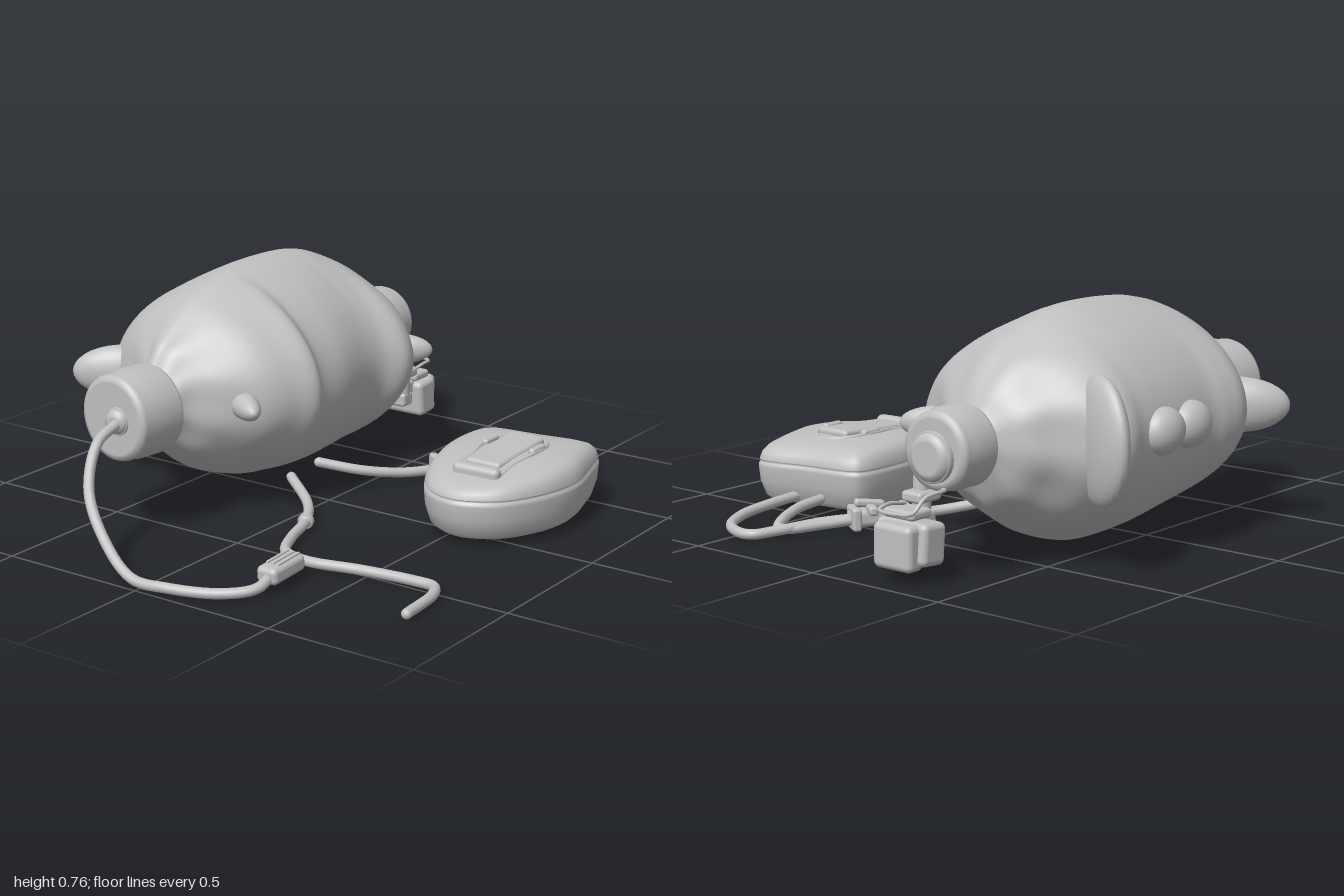
import * as THREE from 'three';
import { RoundedBoxGeometry } from 'three/addons/geometries/RoundedBoxGeometry.js';

const V = (a) => new THREE.Vector3(...a);

export function createModel() {
  const root = new THREE.Group();
  const grey = new THREE.MeshStandardMaterial({ color: 0xc0c0c0 });
  grey.name = 'light grey';

  const add = (name, geometry, pos = [0, 0, 0], rot = [0, 0, 0], parent = root) => {
    const m = new THREE.Mesh(geometry, grey);
    m.name = name;
    m.position.set(...pos);
    m.rotation.set(...rot);
    parent.add(m);
    return m;
  };
  const box = (name, size, pos, rot, r = 0.012, parent = root) =>
    add(name, new RoundedBoxGeometry(...size, 3, r), pos, rot, parent);
  const blob = (name, size, pos, rot) => {
    const m = add(name, new THREE.SphereGeometry(1, 28, 18), pos, rot);
    m.scale.set(...size);
    return m;
  };
  // Turned part: profile [radius, distance] along a direction
  const turned = (name, profile, pos, dir) => {
    const pts = profile.map((p) => new THREE.Vector2(...p));
    const m = add(name, new THREE.LatheGeometry(pts, 48), pos);
    m.quaternion.setFromUnitVectors(new THREE.Vector3(0, 1, 0), V(dir).normalize());
    return m;
  };
  // Round hose along points, with closed ends
  const hose = (name, points, r = 0.017) => {
    const pts = points.map(V);
    const curve = new THREE.CatmullRomCurve3(pts, false, 'centripetal');
    add(name, new THREE.TubeGeometry(curve, points.length * 12, r, 12), [0, 0, 0]);
    for (const p of [points[0], points[points.length - 1]]) add(name + 'End', new THREE.SphereGeometry(r, 12, 8), p);
  };
  // Skin over equal closed rings, fan caps at both ends
  const loft = (rings) => {
    const n = rings[0].length, last = rings.length - 1, pos = rings.flat(2), idx = [];
    const id = (i, j) => i * n + (j % n);
    for (let i = 0; i < last; i++) for (let j = 0; j < n; j++) {
      const a = id(i, j), b = id(i, j + 1), c = id(i + 1, j), d = id(i + 1, j + 1);
      idx.push(a, c, b, b, c, d);
    }
    [0, last].forEach((r) => {
      const centre = pos.length / 3;
      pos.push(...[0, 1, 2].map((k) => rings[r].reduce((s, p) => s + p[k], 0) / n));
      for (let j = 0; j < n; j++) idx.push(centre, id(r, r ? j + 1 : j), id(r, r ? j : j + 1));
    });
    const g = new THREE.BufferGeometry();
    g.setAttribute('position', new THREE.Float32BufferAttribute(pos, 3));
    g.setIndex(idx);
    g.computeVertexNormals();
    return g;
  };

  // Soft bag: x, top y, bottom y, front z, back z
  const stations = [
    [-0.54, 0.48, 0.32, -0.27, -0.42], [-0.48, 0.50, 0.30, -0.26, -0.43], [-0.43, 0.57, 0.24, -0.23, -0.46],
    [-0.37, 0.62, 0.19, -0.14, -0.55], [-0.28, 0.69, 0.13, -0.04, -0.68], [-0.19, 0.73, 0.09, 0.01, -0.74],
    [-0.11, 0.75, 0.065, 0.045, -0.74], [-0.03, 0.764, 0.045, -0.01, -0.725], [0.1, 0.772, 0.025, 0.0, -0.73],
    [0.24, 0.77, 0.02, -0.01, -0.73], [0.32, 0.757, 0.035, 0.0, -0.73], [0.4, 0.73, 0.06, 0.045, -0.74],
    [0.48, 0.69, 0.095, 0.01, -0.7], [0.56, 0.64, 0.15, -0.1, -0.6], [0.63, 0.57, 0.21, -0.19, -0.53],
    [0.68, 0.49, 0.31, -0.26, -0.44], [0.72, 0.47, 0.33, -0.28, -0.42],
  ];
  const heights = new THREE.CatmullRomCurve3(stations.map((s) => V([s[0], s[1], s[2]])), false, 'catmullrom', 0.5);
  const depths = new THREE.CatmullRomCurve3(stations.map((s) => V([s[0], s[3], s[4]])), false, 'catmullrom', 0.5);
  const bagRings = [];
  for (let i = 0; i <= 96; i++) {
    const h = heights.getPoint(i / 96), d = depths.getPoint(i / 96), ring = [];
    const x = h.x, zc = -0.36, yc = 0.4;
    const mid = Math.max(0, 1 - Math.abs((x - 0.09) / 0.62) ** 4);
    const crease = Math.exp(-(((x + 0.43) / 0.1) ** 2)) + Math.exp(-(((x - 0.58) / 0.1) ** 2));
    for (let j = 0; j < 112; j++) {
      const t = (j / 112) * Math.PI * 2, c = Math.cos(t), s = Math.sin(t);
      const front = Math.max(0, c);
      const fold = 1 + 0.022 * crease * Math.sin(9 * t + x * 5)
        + front * (0.03 * Math.exp(-(((x + 0.11) / 0.035) ** 2)) - 0.02 * Math.exp(-(((x + 0.05) / 0.025) ** 2))
        - 0.014 * Math.exp(-(((x - 0.25) / 0.025) ** 2))) * (1 - front ** 4);
      const cz = Math.sign(c) * Math.abs(c) ** (1 + 0.35 * mid);
      ring.push([x, yc + s * fold * (s > 0 ? h.y - yc : yc - h.z), zc + cz * fold * (c > 0 ? d.y - zc : zc - d.z)]);
    }
    bagRings.push(ring);
  }
  add('bag', loft(bagRings));

  // Pinched flaps and tabs on the bag
  blob('backFlapLeft', [0.055, 0.2, 0.16], [0.46, 0.41, -0.665], [0, -0.42, 0]);
  blob('backFlapRight', [0.06, 0.09, 0.17], [-0.27, 0.41, -0.655], [0, 0.62, 0]);
  for (const x of [0.08, 0.22]) blob('backPad', [0.085, 0.075, 0.06], [x, 0.41, -0.72]);
  blob('frontTabLeft', [0.04, 0.055, 0.13], [0.52, 0.4, -0.09], [0, 0.5, 0]);
  blob('frontTabRight', [0.045, 0.045, 0.13], [-0.31, 0.4, -0.12], [0, -0.6, 0]);

  // End caps
  const cap = (r, l) => [[0, 0], [r - 0.015, 0], [r - 0.005, 0.004], [r, 0.014], [r, l * 0.6], [r - 0.005, l * 0.63],
    [r - 0.005, l - 0.02], [r - 0.01, l - 0.006], [r - 0.024, l], [r - 0.028, l], [0, l]];
  turned('rightCap', cap(0.146, 0.18), [-0.5, 0.4, -0.335], [-1, 0, -0.1]);
  turned('hoseSpigot', cap(0.045, 0.05), [-0.66, 0.4, -0.325], [-1, 0, 0]);
  turned('leftCap', cap(0.127, 0.15), [0.695, 0.4, -0.35], [1, 0, 0]);
  turned('leftCapPlug', cap(0.078, 0.05), [0.83, 0.385, -0.35], [1, 0, 0]);

  // Valve hanging below the left cap
  turned('valveStem', cap(0.03, 0.19), [0.75, 0.12, -0.215], [0, 1, 0]);
  box('valveCollar', [0.1, 0.035, 0.08], [0.755, 0.235, -0.22]);
  box('valveArm', [0.13, 0.05, 0.06], [0.8, 0.17, -0.235]);
  box('valveFoot', [0.06, 0.05, 0.07], [0.75, 0.14, -0.22]);
  box('valveBlock', [0.1, 0.13, 0.2], [0.86, 0.125, -0.27], [0, 0, 0.08], 0.02);
  box('valveFace', [0.07, 0.14, 0.15], [0.915, 0.118, -0.27], [0, 0, 0], 0.02);
  box('valveLid', [0.09, 0.03, 0.12], [0.85, 0.205, -0.25]);
  hose('safetyLoop', [[0.84, 0.29, -0.38], [0.88, 0.3, -0.42], [0.95, 0.29, -0.41], [0.992, 0.25, -0.4],
    [0.985, 0.235, -0.33], [0.96, 0.23, -0.24], [0.9, 0.235, -0.22], [0.83, 0.225, -0.22]], 0.006);

  // Hoses
  hose('fillHose', [[-0.69, 0.4, -0.315], [-0.8, 0.36, -0.31], [-0.89, 0.24, -0.27], [-0.95, 0.12, -0.16],
    [-0.98, 0.035, -0.03], [-0.97, 0.03, 0.1], [-0.91, 0.03, 0.26], [-0.84, 0.04, 0.335], [-0.76, 0.06, 0.335]]);
  hose('drainHose', [[-0.05, 0.08, -0.12], [-0.15, 0.045, 0.02], [-0.27, 0.035, 0.1], [-0.4, 0.028, 0.14],
    [-0.51, 0.026, 0.2], [-0.535, 0.025, 0.3], [-0.5, 0.025, 0.48], [-0.48, 0.025, 0.66], [-0.485, 0.025, 0.73],
    [-0.54, 0.025, 0.765], [-0.71, 0.025, 0.785]]);
  turned('hoseCollar', cap(0.026, 0.05), [-0.247, 0.035, 0.093], [-1, 0, 0.3]);
  hose('supplyHose', [[0.08, 0.1, -0.1], [0.17, 0.07, 0.02], [0.28, 0.05, 0.11], [0.4, 0.045, 0.18], [0.5, 0.045, 0.23]]);
  hose('innerBranch', [[0.55, 0.045, 0.25], [0.64, 0.04, 0.3], [0.74, 0.035, 0.355], [0.755, 0.035, 0.39],
    [0.7, 0.045, 0.43], [0.6, 0.06, 0.46], [0.48, 0.065, 0.475]]);
  hose('outerBranch', [[0.53, 0.05, 0.24], [0.64, 0.045, 0.31], [0.78, 0.035, 0.37], [0.85, 0.03, 0.41], [0.86, 0.03, 0.46],
    [0.82, 0.035, 0.54], [0.73, 0.045, 0.58], [0.6, 0.055, 0.587], [0.48, 0.06, 0.587]]);

  // Clip on the fill hose with grip ribs
  box('hoseClip', [0.16, 0.055, 0.075], [-0.71, 0.065, 0.33], [0, 0, 0.06], 0.018);
  for (const z of [-0.02, 0, 0.02]) box('clipRib', [0.11, 0.012, 0.01], [-0.7, 0.093, 0.33 + z], [0, 0, 0.06], 0.004);

  // Splitter on the supply hose
  const splitter = new THREE.Group();
  splitter.name = 'splitter';
  splitter.position.set(0.48, 0.05, 0.215);
  splitter.rotation.y = -0.55;
  root.add(splitter);
  box('splitterBody', [0.2, 0.06, 0.06], [0, 0, 0], [0, 0, 0], 0.02, splitter);
  for (const x of [-0.09, -0.01, 0.08]) box('splitterFlange', [0.03, 0.075, 0.09], [x, 0, 0], [0, 0, 0], 0.01, splitter);
  box('splitterLever', [0.1, 0.025, 0.03], [0.03, 0.045, 0], [0, 0, 0.12], 0.01, splitter);
  box('splitterCross', [0.03, 0.03, 0.13], [0.03, 0.03, 0], [0, 0, 0], 0.01, splitter);

  // Foot pump: plan outline scaled through its height
  const outline = new THREE.CatmullRomCurve3([[-0.148, 0.58], [-0.12, 0.475], [-0.03, 0.395], [0.1, 0.345], [0.25, 0.32],
    [0.42, 0.325], [0.455, 0.35], [0.49, 0.54], [0.522, 0.7], [0.505, 0.735], [0.38, 0.78], [0.22, 0.815], [0.05, 0.785],
    [-0.09, 0.7]].map(([x, z]) => V([x, 0, z])), true, 'centripetal').getPoints(112).slice(0, 112);
  const levels = [[0.03, 0.8], [0.032, 0.86], [0.05, 0.93], [0.1, 0.985], [0.15, 1], [0.16, 0.995], [0.164, 0.975],
    [0.17, 0.975], [0.174, 0.99], [0.205, 0.96], [0.225, 0.9], [0.236, 0.8], [0.243, 0.6], [0.247, 0.3]];
  add('pumpBody', loft(levels.map(([y, s]) => outline.map((p) => {
    const x = 0.21 + (p.x - 0.21) * s, z = 0.565 + (p.z - 0.565) * s;
    const drop = 1 - 0.5 * Math.min(1, Math.abs((x - 0.24) / 0.38) ** 2);
    return [x, y > 0.17 ? 0.17 + (y - 0.17) * drop : y, z];
  }))));

  // Pump pedal, its U-shaped rim and cross bar
  hose('pedalRim', [[-0.01, 0.222, 0.485], [0.1, 0.236, 0.49], [0.2, 0.245, 0.475], [0.3, 0.243, 0.485], [0.355, 0.238, 0.53],
    [0.36, 0.236, 0.58], [0.335, 0.239, 0.63], [0.28, 0.243, 0.66], [0.2, 0.245, 0.665], [0.1, 0.236, 0.655],
    [-0.01, 0.222, 0.66]], 0.009);
  box('pedal', [0.29, 0.03, 0.13], [0.18, 0.241, 0.57], [0, 0, 0.06], 0.014);
  box('pedalBar', [0.045, 0.05, 0.165], [-0.015, 0.226, 0.585], [0, 0.04, 0], 0.018);
  for (const z of [0.482, 0.658]) box('pedalHinge', [0.08, 0.025, 0.025], [0.23, 0.249, z], [0, 0, 0], 0.01);
  return root;
}
